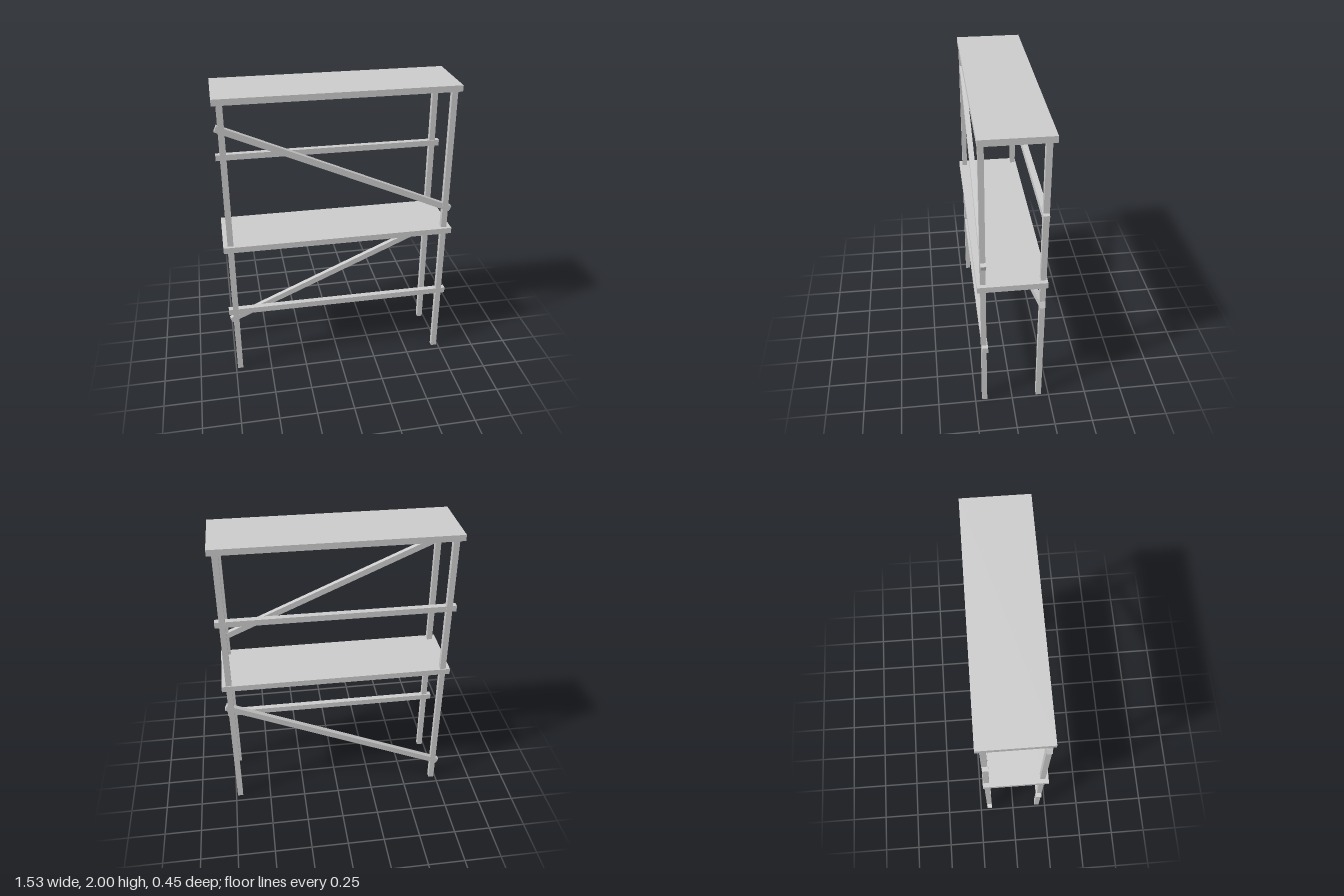
import * as THREE from 'three';

const material = new THREE.MeshStandardMaterial({ color: 0xcccccc, flatShading: true });

// Adds a named box centred at (x, y, z), rolled in the front plane by angle
function addBox(group, name, size, position, angle = 0) {
  const mesh = new THREE.Mesh(new THREE.BoxGeometry(...size), material);
  mesh.name = name;
  mesh.position.set(...position);
  mesh.rotation.z = angle;
  group.add(mesh);
}

export function createModel() {
  const group = new THREE.Group();
  group.name = 'scaffold';
  const width = 1.535;
  const frontZ = 0.187, backZ = -0.182;

  // Four upright posts
  for (const [side, x] of [['left', 0.72], ['right', -0.72]]) {
    addBox(group, `${side}FrontPost`, [0.038, 1.97, 0.034], [x, 0.985, frontZ]);
    addBox(group, `${side}BackPost`, [0.038, 1.97, 0.036], [x, 0.985, backZ]);
  }

  // Plank decks, each slightly offset in depth
  addBox(group, 'topDeck', [width, 0.04, 0.432], [0, 1.98, -0.006]);
  addBox(group, 'middleDeck', [width, 0.04, 0.432], [0, 0.99, 0.009]);

  // Horizontal rails
  addBox(group, 'upperBackRail', [width, 0.04, 0.038], [0, 1.478, -0.178]);
  addBox(group, 'lowerFrontRail', [width, 0.04, 0.038], [0, 0.487, 0.181]);

  // Diagonal braces
  const rise = 0.67, run = 1.51;
  const length = Math.hypot(rise, run), angle = Math.atan2(rise, run);
  addBox(group, 'upperFrontBrace', [length, 0.04, 0.034], [0, 1.48, 0.184], -angle);
  addBox(group, 'lowerBackBrace', [length, 0.04, 0.034], [0, 0.49, -0.181], angle);

  return group;
}
